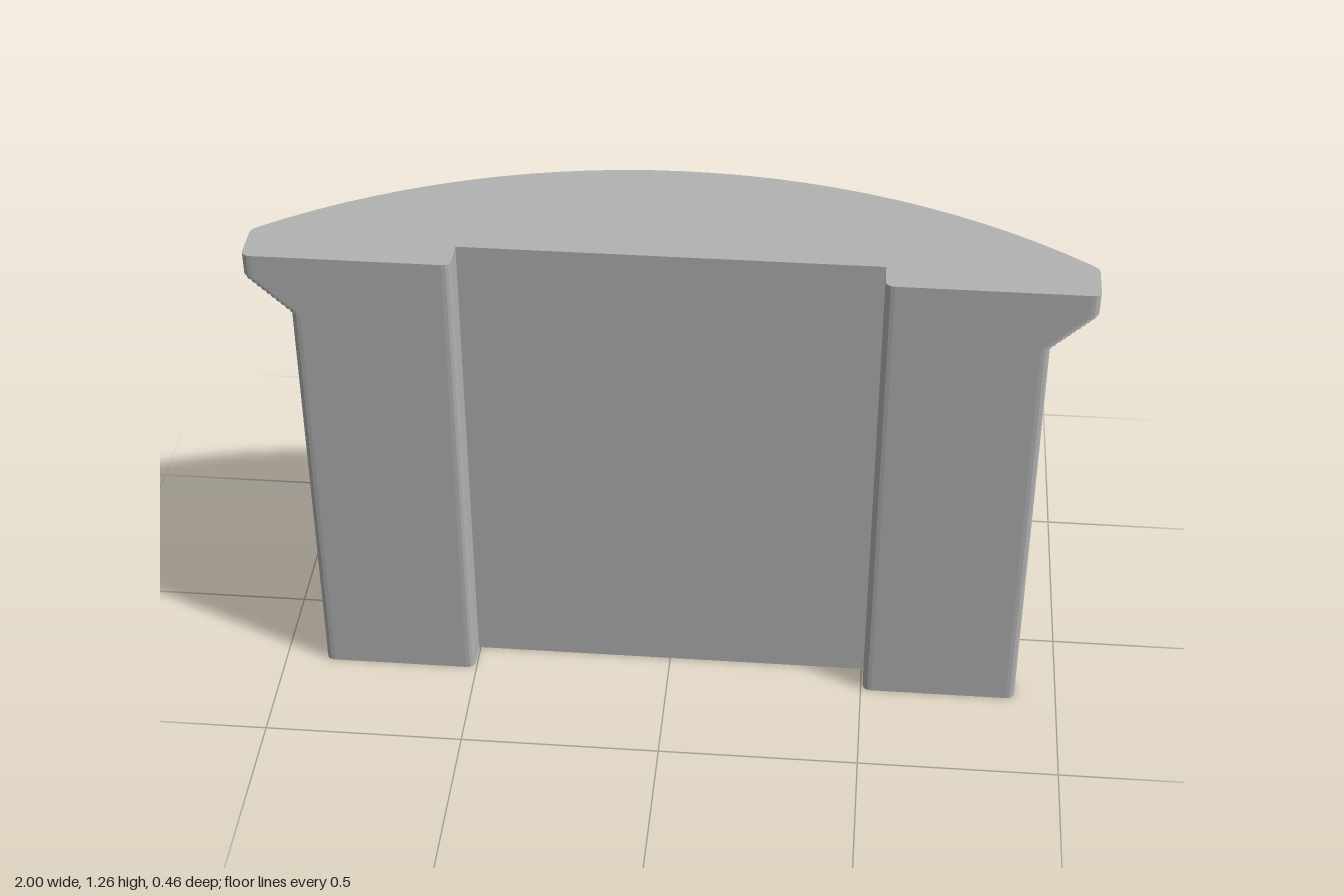
import * as THREE from 'three';

const FRONT = 0.23, RECESS_Z = 0.15, RECESS_X = 0.505;
const ARC_CENTER = 1.385, BODY_RADIUS = 1.51, BODY_HALF = 0.895;
const OVERHANG = 0.105, FILLET = 0.022, STEPS = 10;

// Quarter-round corner from a to b around the sharp corner c
function corner(a, c, b, n = 4) {
  return new THREE.QuadraticBezierCurve(
    new THREE.Vector2(...a), new THREE.Vector2(...c), new THREE.Vector2(...b)
  ).getPoints(n);
}

// Plan outline in x/z: bowed back, flat front with a shallow recess
function outline(grow) {
  const w = BODY_HALF + grow, r = BODY_RADIUS + grow, f = FILLET;
  const backZ = (x) => ARC_CENTER - Math.sqrt(r * r - x * x);
  const half = [
    new THREE.Vector2(RECESS_X, RECESS_Z),
    ...corner([RECESS_X, FRONT - f], [RECESS_X, FRONT], [RECESS_X + f, FRONT]),
    ...corner([w - f, FRONT], [w, FRONT], [w, FRONT - f]),
    ...corner([w, backZ(w) + 0.012], [w, backZ(w)], [w - 0.015, backZ(w - 0.015)], 3),
  ];
  const end = Math.asin((w - 0.015) / r), n = 14;
  for (let i = n - 1; i > 0; i--) {
    const a = end * i / n;
    half.push(new THREE.Vector2(r * Math.sin(a), ARC_CENTER - r * Math.cos(a)));
  }
  const mirrored = half.map((p) => new THREE.Vector2(-p.x, p.y)).reverse();
  return new THREE.Shape([...half, new THREE.Vector2(0, ARC_CENTER - r), ...mirrored]);
}

export function createModel() {
  const model = new THREE.Group();
  const gray = new THREE.MeshStandardMaterial({ color: 0xb2b2b2 });
  gray.name = 'plain gray';

  function slab(name, grow, bottom, top, parent = model) {
    const geo = new THREE.ExtrudeGeometry(outline(grow), { depth: top - bottom, bevelEnabled: false });
    geo.rotateX(Math.PI / 2).translate(0, top, 0);
    const mesh = new THREE.Mesh(geo, gray);
    mesh.name = name;
    parent.add(mesh);
  }

  // Tall curved body
  slab('body', 0, 0, 1.1);

  // Flare made of thin steps under the rim
  const flare = new THREE.Group();
  flare.name = 'steppedFlare';
  model.add(flare);
  for (let i = 0; i < STEPS; i++) {
    slab('flareStep' + (i + 1), OVERHANG * (i + 0.5) / STEPS,
      1.1 + 0.1 * i / STEPS, 1.1 + 0.1 * (i + 1) / STEPS, flare);
  }

  // Rim at the top
  slab('topRim', OVERHANG, 1.2, 1.257);
  return model;
}
